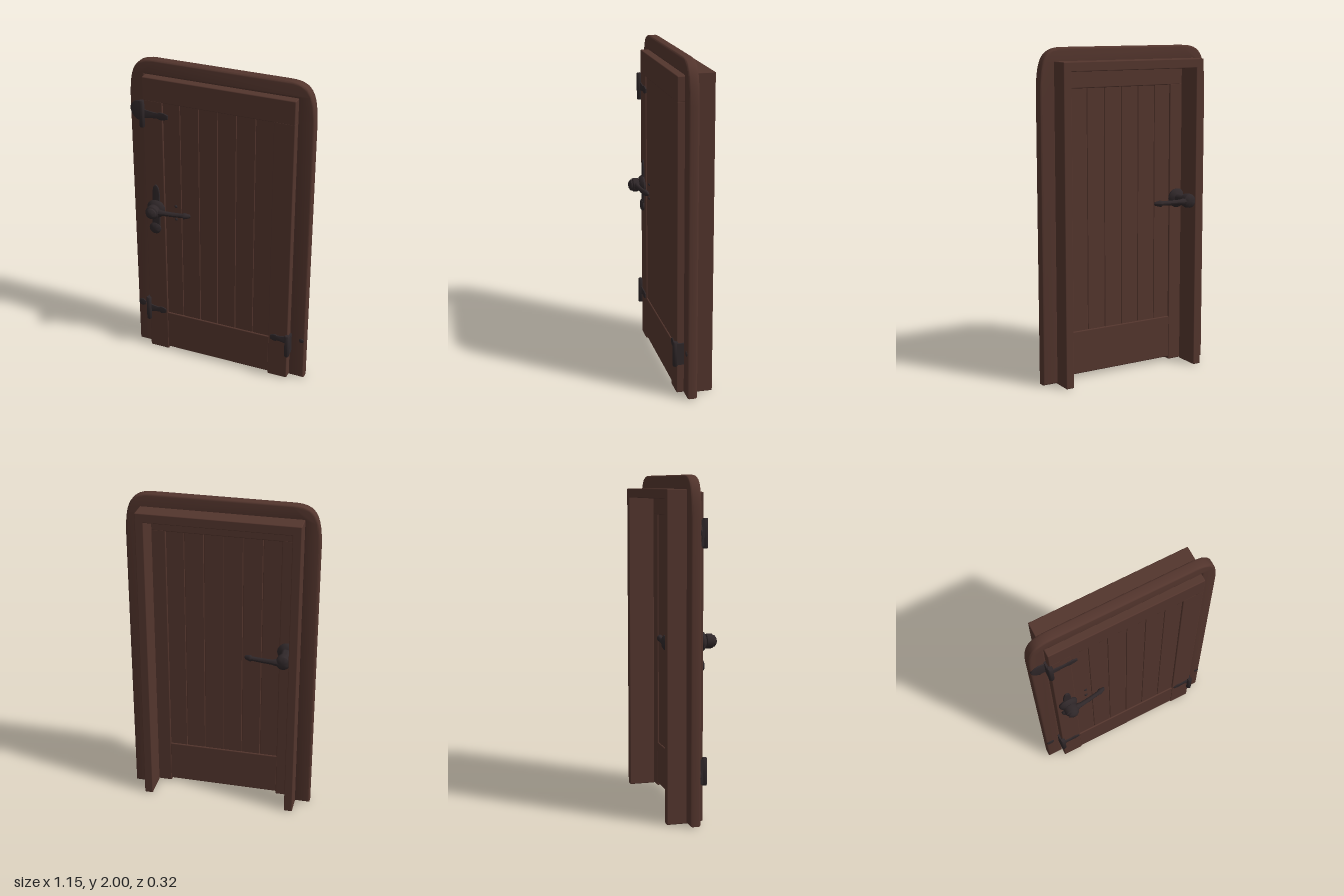
import * as THREE from 'three';
import { toCreasedNormals } from 'three/addons/utils/BufferGeometryUtils.js';
import { RoundedBoxGeometry } from 'three/addons/geometries/RoundedBoxGeometry.js';

const wood = new THREE.MeshStandardMaterial({ color: 0x53352d });
wood.name = 'brown wood';
const iron = new THREE.MeshStandardMaterial({ color: 0x2f2729 });
iron.name = 'dark iron';

function add(parent, name, geometry, material, x = 0, y = 0, z = 0) {
  const mesh = new THREE.Mesh(geometry, material);
  mesh.name = name;
  mesh.position.set(x, y, z);
  parent.add(mesh);
  return mesh;
}

// Rounded timber given by its limits on each axis
function timber(parent, name, [x0, x1], [y0, y1], [z0, z1], r = 0.006) {
  const geo = new RoundedBoxGeometry(x1 - x0, y1 - y0, z1 - z0, 2, r);
  return add(parent, name, geo, wood, (x0 + x1) / 2, (y0 + y1) / 2, (z0 + z1) / 2);
}

function plate(shape, depth, bevel = 0.003) {
  return toCreasedNormals(new THREE.ExtrudeGeometry(shape, {
    depth, bevelEnabled: true, bevelThickness: bevel, bevelSize: bevel,
    bevelOffset: -bevel, bevelSegments: 3, curveSegments: 12,
  }), 0.7);
}

// Lathe turned to point along +z
function turned(points) {
  const geo = new THREE.LatheGeometry(points.map(p => new THREE.Vector2(...p)), 20);
  return toCreasedNormals(geo.rotateX(Math.PI / 2), 0.7);
}

// Arched surround with an open foot
function makeCasing() {
  const s = new THREE.Shape();
  s.moveTo(-0.574, 0.005);
  s.lineTo(-0.574, 1.75);
  s.bezierCurveTo(-0.57, 1.94, -0.54, 2, -0.41, 2);
  s.lineTo(0.41, 2);
  s.bezierCurveTo(0.54, 2, 0.57, 1.94, 0.574, 1.75);
  s.lineTo(0.574, 0.005);
  s.lineTo(0.475, 0.005);
  s.lineTo(0.475, 1.906);
  s.lineTo(-0.475, 1.906);
  s.lineTo(-0.475, 0.005);
  s.closePath();
  return plate(s, 0.038, 0.012).translate(0, 0, -0.031);
}

// Plank with chamfered long edges, standing upright
function makePlank(width, height, z0, z1) {
  const w = width / 2, c = 0.004;
  const s = new THREE.Shape([
    [-w, -z0 - c], [-w + c, -z0], [w - c, -z0], [w, -z0 - c],
    [w, -z1 + c], [w - c, -z1], [-w + c, -z1], [-w, -z1 + c],
  ].map(p => new THREE.Vector2(...p)));
  return new THREE.ExtrudeGeometry(s, { depth: height, bevelEnabled: false }).rotateX(-Math.PI / 2);
}

function makeLeaf() {
  const leaf = new THREE.Group();
  leaf.name = 'doorLeaf';
  const z = [0.004, 0.06];
  for (const side of [-1, 1]) {
    const xs = [side * 0.474, side * 0.346].sort((a, b) => a - b);
    timber(leaf, 'stile', xs, [0.005, 1.765], z);
  }
  timber(leaf, 'topRail', [-0.474, 0.474], [1.758, 1.905], z);
  timber(leaf, 'bottomRail', [-0.35, 0.35], [0.022, 0.29], [0.006, 0.058]);
  const count = 6, width = 0.71 / count;
  for (let i = 0; i < count; i++) {
    add(leaf, 'plank', makePlank(width, 1.49, 0.014, 0.05), wood, (i - 2.5) * width, 0.28, 0);
  }
  return leaf;
}

// Deep frame behind the casing, reaching forward to the leaf
function makeJamb() {
  const jamb = new THREE.Group();
  jamb.name = 'jamb';
  const z = [-0.157, 0.006];
  for (const side of [-1, 1]) {
    const xs = [side * 0.482, side * 0.43].sort((a, b) => a - b);
    timber(jamb, 'jambPost', xs, [0, 1.92], z, 0.005);
  }
  timber(jamb, 'jambHead', [-0.482, 0.482], [1.865, 1.921], z, 0.005);
  return jamb;
}

// Lever handle, base at z = 0 and pointing to +x; stem is the hub's distance
// from the door and leverZ the arm's
function makeHandle(name, stem, leverZ, hub) {
  const handle = new THREE.Group();
  handle.name = name;
  add(handle, 'rosette', turned([
    [0, 0], [0.057, 0], [0.06, 0.012], [0.052, 0.026], [0.032, 0.036], [0.03, stem], [0, stem],
  ]), iron);
  add(handle, 'hub', turned(hub), iron, 0, 0, stem);
  // Tapered arm with an arrow tip, bowed back towards the door
  const profile = [
    [0.022, 0], [0.021, 0.045], [0.016, 0.07], [0.015, 0.13], [0.014, 0.19],
    [0.021, 0.198], [0.018, 0.21], [0.012, 0.232], [0, 0.239],
  ].map(p => new THREE.Vector2(...p));
  const arm = new THREE.LatheGeometry(profile, 12).rotateZ(-Math.PI / 2);
  const p = arm.attributes.position;
  for (let i = 0; i < p.count; i++) {
    const t = p.getX(i) / 0.239;
    p.setZ(i, p.getZ(i) * 0.85 + leverZ - 0.03 * t * t);
  }
  arm.computeVertexNormals();
  add(handle, 'lever', arm, iron, 0, 0.002, 0);
  return handle;
}

// Lobed plate behind the handle, with a keyhole cover
function makeBackplate() {
  const group = new THREE.Group();
  group.name = 'backplate';
  const s = new THREE.Shape();
  s.moveTo(-0.03, -0.13);
  s.lineTo(-0.024, 0.09);
  s.bezierCurveTo(-0.022, 0.13, -0.016, 0.167, 0, 0.167);
  s.bezierCurveTo(0.016, 0.167, 0.026, 0.13, 0.024, 0.09);
  s.lineTo(0.022, -0.13);
  s.closePath();
  add(group, 'plate', plate(s, 0.006), iron);
  add(group, 'keyholeCover', turned([[0, 0], [0.037, 0], [0.038, 0.01], [0.028, 0.018], [0, 0.023]]), iron, -0.01, -0.135, 0);
  return group;
}

// Barrel hinge; the strap runs to the given side, over the leaf
function makeHinge(height, strap, strapY, side) {
  const hinge = new THREE.Group();
  hinge.name = 'hinge';
  const r = 0.016;
  const barrel = new THREE.LatheGeometry([
    [0, 0], [r * 0.8, 0], [r, 0.006], [r, height - 0.006], [r * 0.8, height], [0, height],
  ].map(p => new THREE.Vector2(...p)), 16);
  add(hinge, 'barrel', toCreasedNormals(barrel, 0.7), iron, 0, -height / 2, 0.068);
  add(hinge, 'web', new THREE.BoxGeometry(0.012, height - 0.02, 0.052), iron, -side * 0.008, 0, 0.042);
  const s = new THREE.Shape();
  s.moveTo(0, -0.03);
  s.quadraticCurveTo(strap * 0.35, -0.018, strap * 0.6, -0.018);
  s.quadraticCurveTo(strap * 0.72, -0.032, strap, -0.012);
  s.lineTo(strap, 0.012);
  s.quadraticCurveTo(strap * 0.72, 0.032, strap * 0.6, 0.018);
  s.quadraticCurveTo(strap * 0.35, 0.018, 0, 0.03);
  s.closePath();
  add(hinge, 'strap', plate(s, 0.004, 0.002), iron, 0, strapY, 0.06).scale.x = side;
  return hinge;
}

export function createModel() {
  const door = new THREE.Group();
  door.name = 'door';
  add(door, 'casing', makeCasing(), wood);
  door.add(makeJamb(), makeLeaf());

  // Handles on both faces
  const front = makeHandle('frontHandle', 0.034, 0.055, [
    [0.03, 0], [0.042, 0.005], [0.044, 0.02], [0.042, 0.04], [0.035, 0.045], [0.034, 0.054], [0.02, 0.065], [0, 0.068],
  ]);
  front.position.set(-0.402, 1.052, 0.058);
  const back = makeHandle('backHandle', 0.105, 0.148, [
    [0.03, 0], [0.042, 0.006], [0.045, 0.025], [0.042, 0.05], [0.03, 0.06], [0, 0.062],
  ]);
  back.rotation.x = Math.PI;
  back.position.set(-0.395, 1.052, 0.005);
  const backplate = makeBackplate();
  backplate.position.set(-0.402, 1.048, 0.06);
  door.add(front, back, backplate);
  for (const y of [0.995, 1.085]) {
    add(door, 'nail', new THREE.SphereGeometry(0.01, 10, 8), iron, -0.275, y, 0.049);
  }

  // Hinges
  const upper = makeHinge(0.17, 0.165, 0, 1);
  upper.position.set(-0.475, 1.675, 0);
  const shield = new THREE.Shape();
  shield.moveTo(0, -0.06);
  shield.lineTo(-0.05, -0.065);
  shield.quadraticCurveTo(-0.097, -0.04, -0.098, 0.015);
  shield.quadraticCurveTo(-0.08, 0.06, -0.04, 0.06);
  shield.lineTo(0, 0.05);
  shield.closePath();
  add(upper, 'fixedPlate', plate(shield, 0.006), iron, 0, 0, 0.016);

  const lower = makeHinge(0.165, 0.12, 0, 1);
  lower.position.set(-0.475, 0.302, 0);
  const lowerRight = makeHinge(0.155, 0.115, 0.04, -1);
  lowerRight.position.set(0.474, 0.258, 0);
  door.add(upper, lower, lowerRight);

  const stud = turned([[0, 0], [0.026, 0], [0.024, 0.008], [0, 0.013]]);
  add(door, 'stud', stud, iron, -0.545, 0.3, 0.015);
  add(door, 'smallStud', stud, iron, 0.552, 0.288, 0.015).scale.set(0.6, 0.6, 1);
  return door;
}
